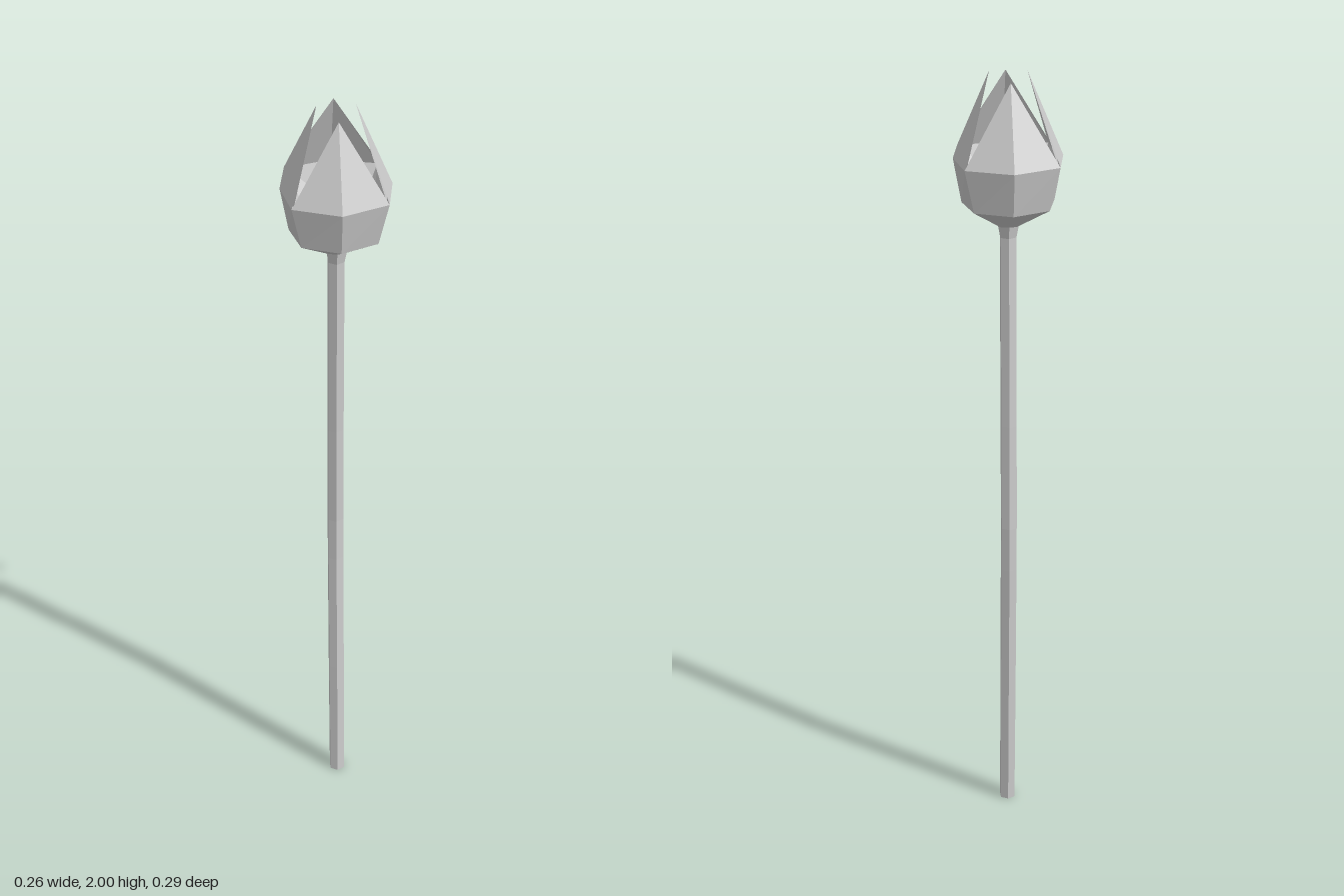
import * as THREE from 'three';

// Builds a petal from half cross-sections: a row is [half width, edge depth, middle depth, height].
function petalGeometry(outer, inner, tip) {
  const pos = [];
  const tri = (a, b, c) => pos.push(...a, ...b, ...c);
  const points = ([u, edge, mid, y]) => [[-u, y, edge], [0, y, mid], [u, y, edge]];
  const layer = (rows, flip) => {
    const face = (a, b, c) => (flip ? tri(a, c, b) : tri(a, b, c));
    const p = rows.map(points);
    for (let i = 0; i < p.length - 1; i++) {
      for (let j = 0; j < 2; j++) {
        face(p[i][j], p[i][j + 1], p[i + 1][j + 1]);
        face(p[i][j], p[i + 1][j + 1], p[i + 1][j]);
      }
    }
    const top = p[p.length - 1];
    for (let j = 0; j < 2; j++) face(top[j], top[j + 1], tip);
  };
  layer(outer, false);
  layer(inner, true);
  const geometry = new THREE.BufferGeometry();
  geometry.setAttribute('position', new THREE.Float32BufferAttribute(pos, 3));
  geometry.computeVertexNormals();
  return geometry;
}

export function createModel() {
  const model = new THREE.Group();
  model.name = 'tulip';
  const grey = new THREE.MeshStandardMaterial({ color: 0xcccccc, flatShading: true, side: THREE.DoubleSide });
  grey.name = 'light grey';

  // Stem: a six-sided tube bent along z, flared under the flower. Rows are [y, z, radius].
  const rows = [
    [1.63, 0, 0.03], [1.59, 0, 0.022], [1.1, -0.013, 0.022], [0.82, -0.017, 0.022],
    [0.7, -0.013, 0.022], [0.35, 0.005, 0.022], [0, 0.02, 0.021],
  ];
  const stemGeometry = new THREE.CylinderGeometry(1, 1, rows.length - 1, 6, rows.length - 1);
  const p = stemGeometry.attributes.position;
  for (let i = 0; i < p.count; i++) {
    const [y, z, r] = rows[Math.round((rows.length - 1) / 2 - p.getY(i))];
    p.setXYZ(i, p.getX(i) * r, y, p.getZ(i) * r + z);
  }
  stemGeometry.computeVertexNormals();
  const stem = new THREE.Mesh(stemGeometry, grey);
  stem.name = 'stem';
  model.add(stem);

  // Petals: front and back are wider and deeper than the two sides; neighbours meet at the corners.
  const wide = petalGeometry(
    [[0.02, 0.02, 0.026, 1.62], [0.09, 0.088, 0.125, 1.68], [0.113, 0.103, 0.147, 1.79]],
    [[0.015, 0.015, 0.02, 1.645], [0.066, 0.066, 0.095, 1.69], [0.108, 0.099, 0.128, 1.79]],
    [0, 1.985, 0.06]);
  const narrow = petalGeometry(
    [[0.02, 0.02, 0.026, 1.62], [0.088, 0.09, 0.112, 1.68], [0.103, 0.113, 0.132, 1.79]],
    [[0.015, 0.015, 0.02, 1.645], [0.066, 0.066, 0.085, 1.69], [0.099, 0.108, 0.117, 1.79]],
    [0, 2, 0.045]);
  ['frontPetal', 'leftPetal', 'backPetal', 'rightPetal'].forEach((name, i) => {
    const petal = new THREE.Mesh(i % 2 ? narrow : wide, grey);
    petal.name = name;
    petal.rotation.y = (i * Math.PI) / 2;
    model.add(petal);
  });

  // Small floor closing the inside of the flower
  const floor = new THREE.Mesh(new THREE.CylinderGeometry(0.021, 0.021, 0.02, 8), grey);
  floor.name = 'flowerFloor';
  floor.position.y = 1.636;
  model.add(floor);
  return model;
}
